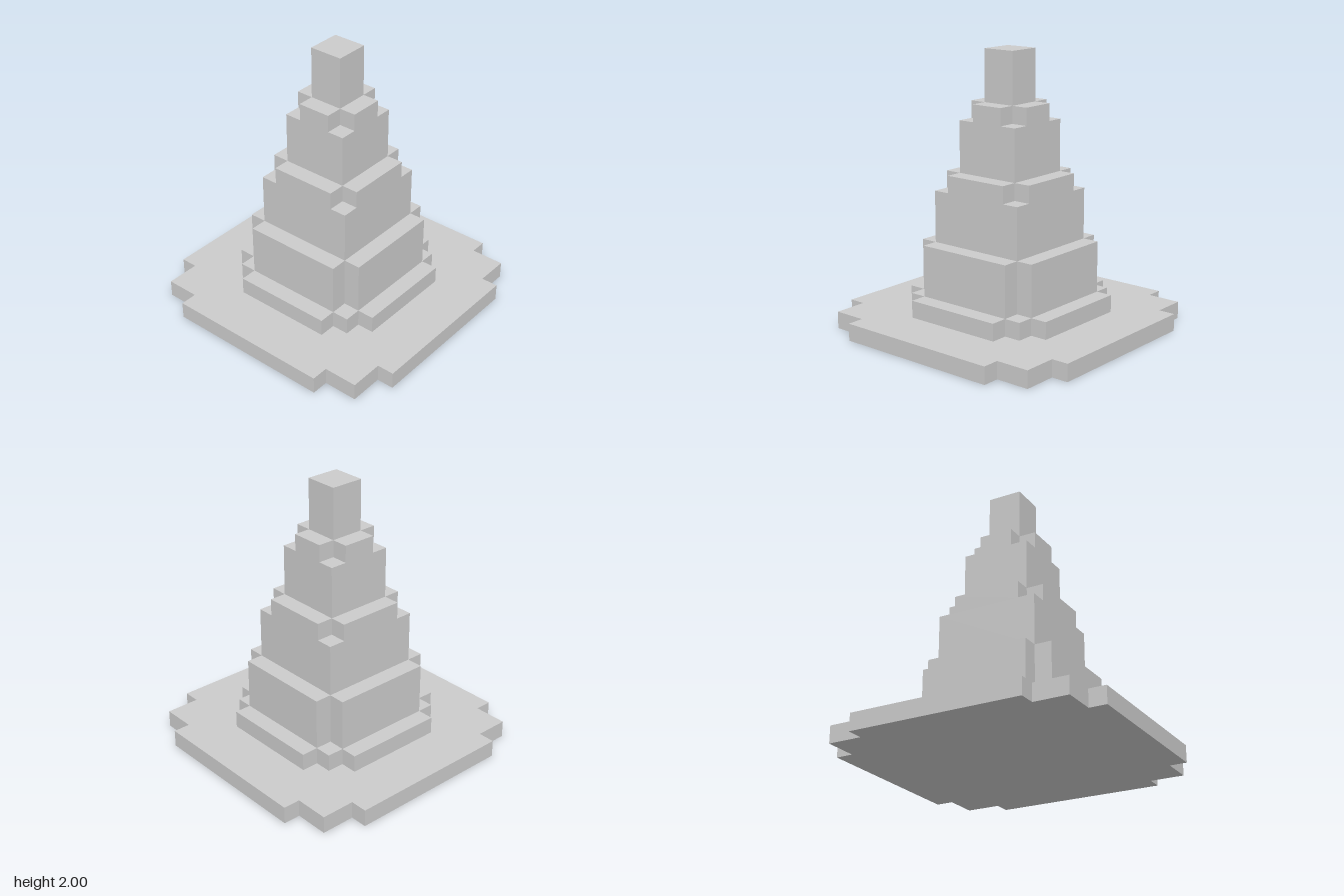
import * as THREE from 'three';

const U = 0.125; // every dimension is a whole number of these steps

// Stepped tier: one corner of the outline, repeated by quarter turns, extruded upward
function tier(name, corner, bottom, top, material) {
  const points = [];
  for (let q = 0; q < 4; q++) {
    for (const [px, py] of corner) {
      let x = px, y = py;
      for (let i = 0; i < q; i++) [x, y] = [-y, x];
      points.push(new THREE.Vector2(x * U, y * U));
    }
  }
  const geometry = new THREE.ExtrudeGeometry(new THREE.Shape(points), {
    depth: (top - bottom) * U,
    bevelEnabled: false,
  });
  geometry.rotateX(-Math.PI / 2);
  const mesh = new THREE.Mesh(geometry, material);
  mesh.name = name;
  mesh.position.y = bottom * U;
  return mesh;
}

// Corner outlines: plain square, single notch, and double notch
const square = (a) => [[a, a]];
const notched = (a, b) => [[a, b], [b, b], [b, a]];
const doubleNotched = (a, m, b) => [[a, b], [m, b], [m, m], [b, m], [b, a]];

export function createModel() {
  const group = new THREE.Group();
  group.name = 'steppedTower';
  const material = new THREE.MeshStandardMaterial({ color: 0xcccccc, flatShading: true });

  // name, corner outline, bottom and top in steps
  const tiers = [
    ['basePlate', doubleNotched(8, 7, 5), 0, 1],
    ['plinth', doubleNotched(5, 4, 3), 1, 2],
    ['lowerBlock', notched(4, 3), 2, 5],
    ['middleBlock', square(3), 5, 8],
    ['middleRim', notched(3, 2), 8, 9],
    ['upperBlock', square(2), 9, 12],
    ['upperRim', notched(2, 1), 12, 13],
    ['topBlock', square(1), 13, 16],
  ];
  for (const [name, corner, bottom, top] of tiers) {
    group.add(tier(name, corner, bottom, top, material));
  }
  return group;
}
